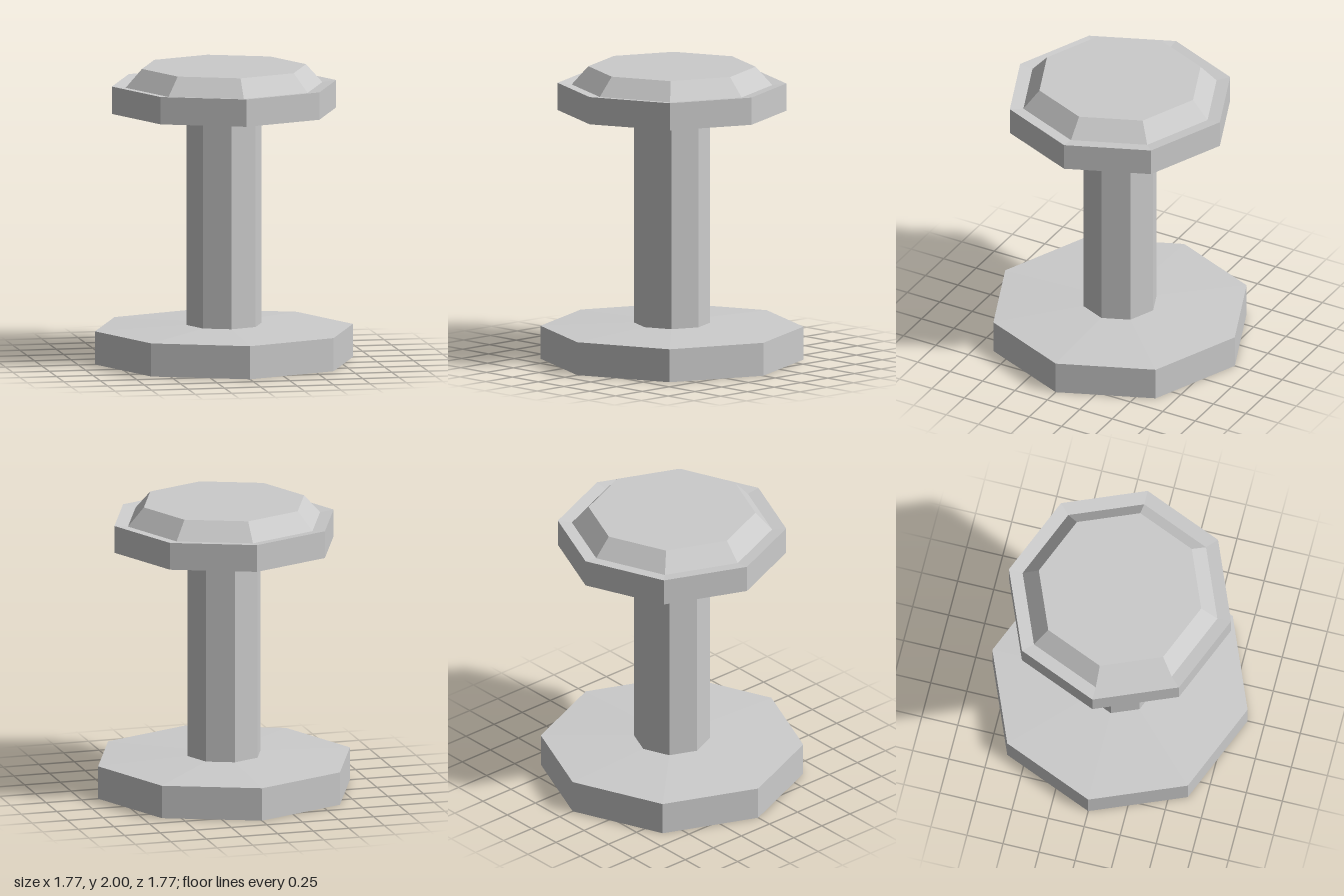
import * as THREE from 'three';

const SIDES = 8;
const material = new THREE.MeshStandardMaterial({ color: 0xcccccc, flatShading: true });

// Turns a [radius, height] profile, listed bottom to top, into an octagonal part
function turned(name, profile) {
  const points = profile.map(([r, y]) => new THREE.Vector2(r, y));
  const geometry = new THREE.LatheGeometry(points, SIDES).toNonIndexed();
  geometry.computeVertexNormals();
  const mesh = new THREE.Mesh(geometry, material);
  mesh.name = name;
  return mesh;
}

export function createModel() {
  const group = new THREE.Group();
  group.name = 'pedestal';

  const postRadius = 0.256;

  group.add(
    // Wide foot: slightly hollow underside, gently sloping top
    turned('base', [
      [0, 0.02], [0.67, 0.02], [0.885, 0], [0.885, 0.225], [postRadius, 0.25],
    ]),
    // Straight post
    turned('post', [[postRadius, 0.25], [postRadius, 1.665]]),
    // Head: sloping underside, rim, narrow ledge and bevelled raised top
    turned('head', [
      [postRadius, 1.665], [0.77, 1.7], [0.77, 1.886],
      [0.675, 1.875], [0.563, 2], [0, 2],
    ]),
  );

  return group;
}
